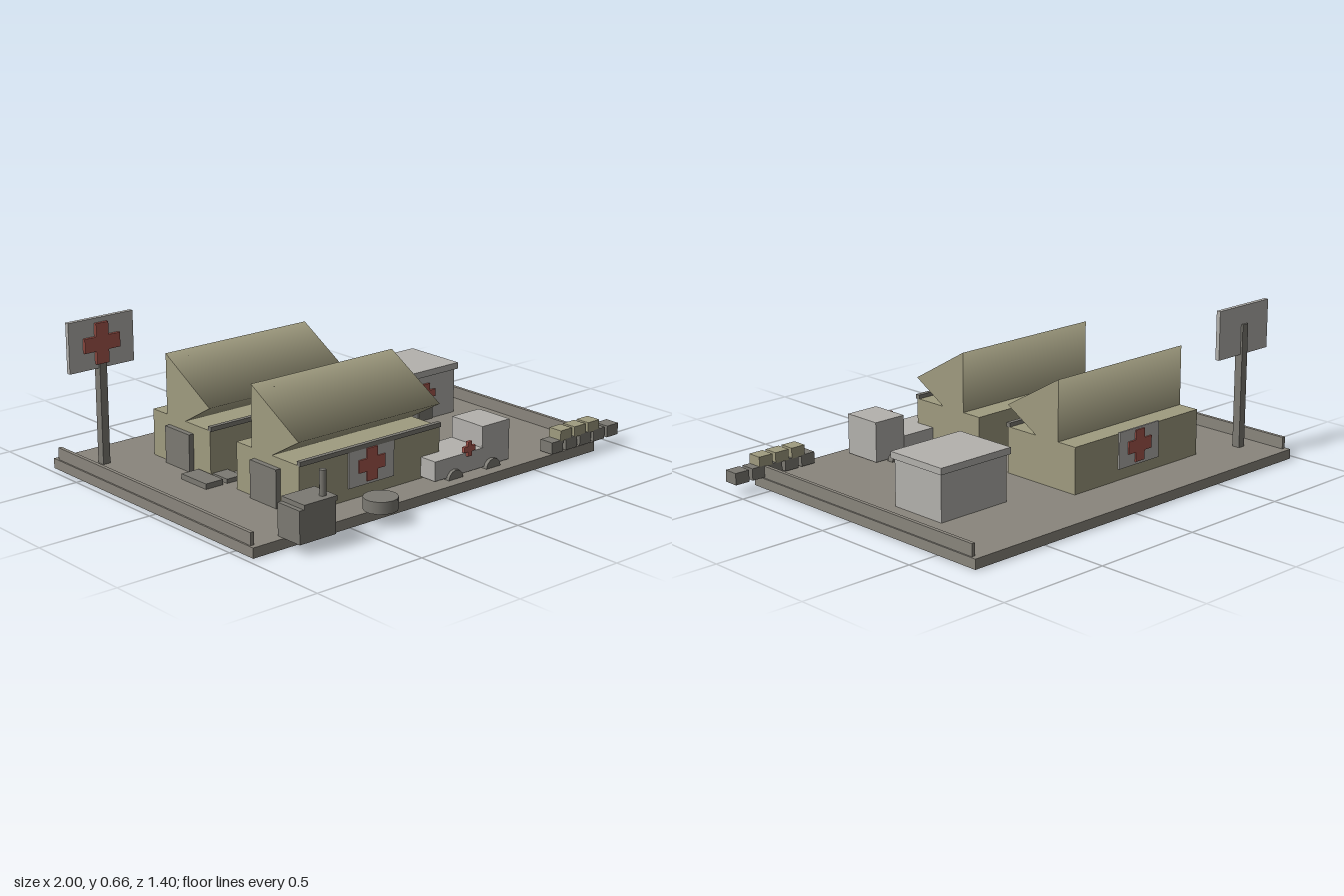
import * as THREE from 'three';

const paint = (name, color) => {
  const m = new THREE.MeshStandardMaterial({ color });
  m.name = name;
  return m;
};

export function createModel() {
  const ground = paint('warm grey', 0x8a867d);
  const canvas = paint('olive canvas', 0xa09c80);
  const white = paint('pale grey', 0xb4b2ae);
  const red = paint('muted red', 0xa8574e);
  const metal = paint('metal grey', 0x7c7a73);

  const model = new THREE.Group();
  model.name = 'fieldHospital';

  const add = (parent, name, geometry, material) => {
    const mesh = new THREE.Mesh(geometry, material);
    mesh.name = name;
    parent.add(mesh);
    return mesh;
  };
  // Box given by its limits on each axis
  const box = (parent, name, mat, x0, x1, y0, y1, z0, z1) => {
    const mesh = add(parent, name, new THREE.BoxGeometry(x1 - x0, y1 - y0, z1 - z0), mat);
    mesh.position.set((x0 + x1) / 2, (y0 + y1) / 2, (z0 + z1) / 2);
    return mesh;
  };
  const group = (name) => {
    const g = new THREE.Group();
    g.name = name;
    model.add(g);
    return g;
  };
  // Plus-shaped plate, extruded along z
  const cross = (parent, x, y, z, size, arm, depth) => {
    const s = size / 2, a = arm / 2;
    const shape = new THREE.Shape([
      [-a, -s], [a, -s], [a, -a], [s, -a], [s, a], [a, a],
      [a, s], [-a, s], [-a, a], [-s, a], [-s, -a], [-a, -a],
    ].map(([px, py]) => new THREE.Vector2(px, py)));
    const mesh = add(parent, 'redCross', new THREE.ExtrudeGeometry(shape, { depth, bevelEnabled: false }), red);
    mesh.position.set(x, y, z);
  };

  // Ground slab and low side rails
  box(model, 'groundSlab', ground, -0.97, 0.86, 0, 0.042, -0.705, 0.603);
  for (const x of [-0.955, 0.845])
    box(model, 'sideRail', ground, x - 0.008, x + 0.008, 0.042, 0.093, -0.68, 0.58);

  // Two tents with three-sided, smoothly shaded roofs
  for (const z of [0.267, -0.283]) {
    const tent = group('tent');
    box(tent, 'tentBody', canvas, -0.63, 0.1, 0.042, 0.24, z - 0.19, z + 0.19);
    const roof = add(tent, 'tentRoof', new THREE.CylinderGeometry(0.19, 0.19, 0.73, 3), canvas);
    roof.rotation.z = Math.PI / 2;
    roof.position.set(-0.265, 0.333, z);
    box(tent, 'eaveBar', metal, -0.63, 0.1, 0.238, 0.257, z + 0.178, z + 0.198);
    box(tent, 'doorFlap', metal, -0.653, -0.63, 0.042, 0.2, z - 0.08, z + 0.08);
    for (const side of [1, -1]) {
      const zp = z + side * 0.193;
      box(tent, 'crossPanel', white, -0.385, -0.15, 0.09, 0.246, zp - 0.004, zp + 0.004);
      cross(tent, -0.268, 0.17, zp + side * 0.007 - 0.003, 0.135, 0.053, 0.006);
    }
  }

  // Sign on a post
  const sign = group('sign');
  box(sign, 'signPost', metal, -0.862, -0.828, 0.042, 0.58, -0.542, -0.506);
  box(sign, 'signPanel', white, -1, -0.69, 0.45, 0.66, -0.533, -0.514);
  cross(sign, -0.848, 0.555, -0.515, 0.17, 0.06, 0.014);

  // Small shed
  const shed = group('shed');
  box(shed, 'shedBody', white, 0.35, 0.695, 0.042, 0.24, -0.342, -0.077);
  box(shed, 'shedRoof', white, 0.338, 0.706, 0.24, 0.268, -0.355, -0.065);
  box(shed, 'shedDoor', metal, 0.482, 0.562, 0.042, 0.165, -0.078, -0.07);
  cross(shed, 0.522, 0.16, -0.072, 0.095, 0.032, 0.01);

  // Ambulance
  const truck = group('ambulance');
  box(truck, 'truckBed', white, 0, 0.265, 0.05, 0.132, 0.36, 0.54);
  box(truck, 'truckCab', white, 0.262, 0.415, 0.05, 0.222, 0.362, 0.538);
  cross(truck, 0.18, 0.15, 0.538, 0.062, 0.022, 0.014);
  for (const x of [0.102, 0.312])
    for (const z of [0.35, 0.54]) {
      const wheel = add(truck, 'wheel', new THREE.CylinderGeometry(0.04, 0.04, 0.03, 12), metal);
      wheel.rotation.x = Math.PI / 2;
      wheel.position.set(x, 0.04, z);
    }

  // Generator with exhaust
  const generator = group('generator');
  box(generator, 'generatorBody', metal, -0.825, -0.65, 0.042, 0.175, 0.568, 0.695);
  box(generator, 'generatorLid', metal, -0.805, -0.645, 0.175, 0.194, 0.566, 0.698);
  const exhaust = add(generator, 'exhaust', new THREE.CylinderGeometry(0.014, 0.014, 0.105, 8), metal);
  exhaust.position.set(-0.685, 0.243, 0.66);

  // Water tank
  const tank = add(model, 'waterTank', new THREE.CylinderGeometry(0.07, 0.07, 0.05, 14), metal);
  tank.position.set(-0.37, 0.08, 0.63);

  // Stretchers lying between the tents
  box(model, 'stretcher', metal, -0.725, -0.64, 0.042, 0.065, -0.16, 0);
  box(model, 'stretcher', metal, -0.62, -0.545, 0.042, 0.06, -0.1, 0);

  // Sandbag wall: five bags below, three above
  const wall = group('sandbagWall');
  for (let i = 0; i < 5; i++) {
    const x = 0.595 + i * 0.084;
    box(wall, 'lowerSandbag', metal, x, x + 0.067, 0.046, 0.096, 0.545, 0.61);
  }
  for (let i = 0; i < 3; i++) {
    const x = 0.645 + i * 0.083;
    box(wall, 'upperSandbag', canvas, x, x + 0.067, 0.092, 0.137, 0.545, 0.61);
  }
  return model;
}
